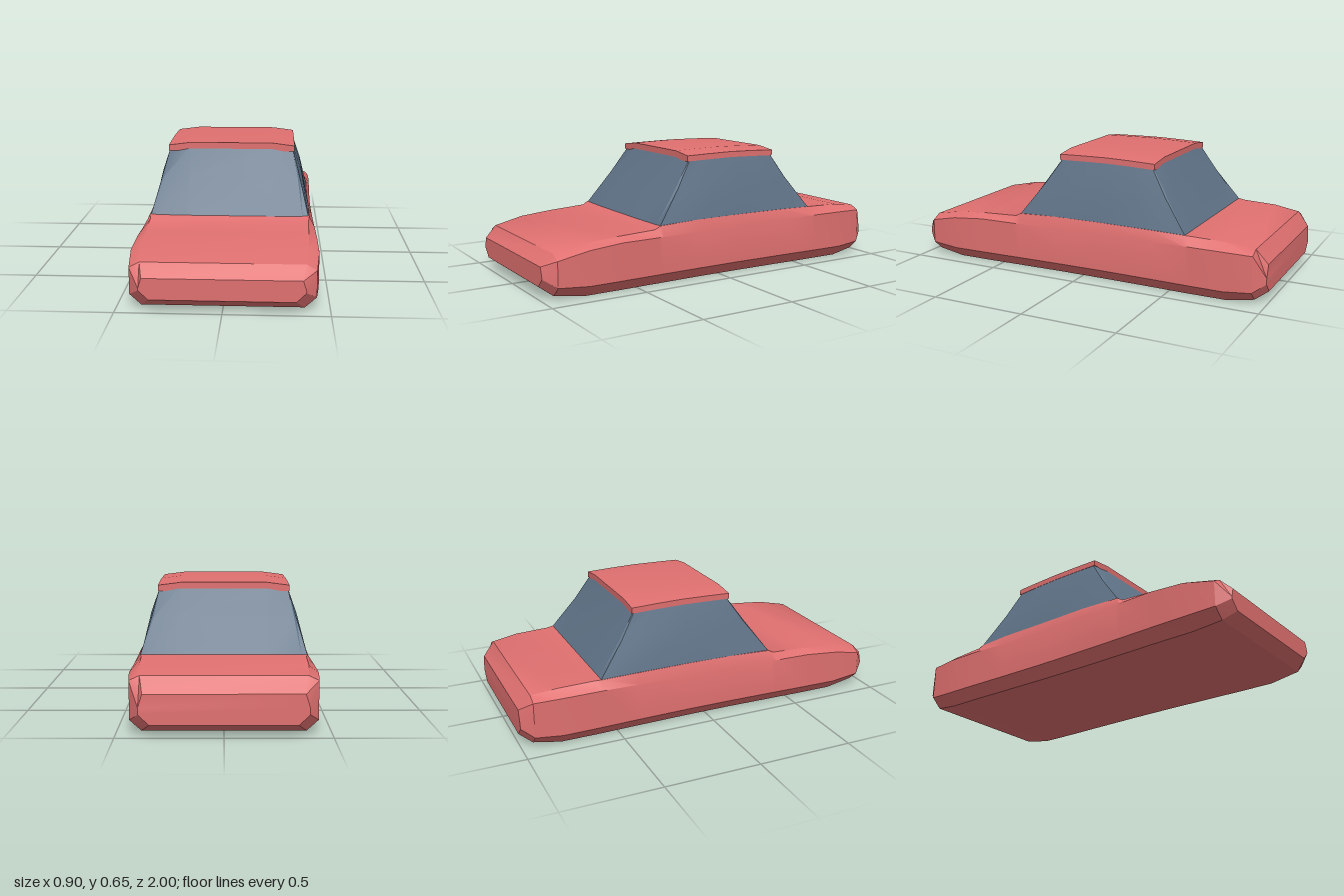
import * as THREE from 'three';
import { toCreasedNormals } from 'three/addons/utils/BufferGeometryUtils.js';

const paint = new THREE.MeshStandardMaterial({ color: 0xe07070 });
paint.name = 'red paint';
const glass = new THREE.MeshStandardMaterial({ color: 0x5f7387 });
glass.name = 'blue grey glass';

// Close a half ring by mirroring it across x = 0
const mirrored = (half) => [...half, ...half.slice().reverse().map(([x, y, z]) => [-x, y, z])];

// Skin a row of closed rings and cap both ends
function loft(name, rings, material, crease) {
  const pos = [];
  const tri = (...pts) => pts.forEach((p) => pos.push(...p));
  const n = rings[0].length;
  for (let i = 0; i < rings.length - 1; i++) {
    for (let j = 0; j < n; j++) {
      const k = (j + 1) % n;
      const [a, b, c, d] = [rings[i][j], rings[i][k], rings[i + 1][k], rings[i + 1][j]];
      tri(a, b, c);
      tri(a, c, d);
    }
  }
  const first = rings[0], last = rings[rings.length - 1];
  // Caps run as strips between mirrored points
  for (let j = 0; j < n / 2 - 1; j++) {
    const m = n - 1 - j;
    tri(last[j], last[j + 1], last[m - 1]);
    tri(last[j], last[m - 1], last[m]);
    tri(first[j], first[m - 1], first[j + 1]);
    tri(first[j], first[m], first[m - 1]);
  }
  const geo = new THREE.BufferGeometry();
  geo.setAttribute('position', new THREE.Float32BufferAttribute(pos, 3));
  const mesh = new THREE.Mesh(toCreasedNormals(geo, crease), material);
  mesh.name = name;
  return mesh;
}

// Lower body: z, sill x, sill y, side x, side low y, side high y, top x, top y
function makeBody() {
  const stations = [
    [-1.00, 0.34, 0.06, 0.39, 0.11, 0.14, 0.37, 0.205],
    [-0.94, 0.38, 0.02, 0.435, 0.07, 0.255, 0.385, 0.278],
    [-0.80, 0.395, 0, 0.448, 0.06, 0.26, 0.40, 0.297],
    [-0.62, 0.395, 0, 0.446, 0.06, 0.26, 0.405, 0.303],
    [-0.585, 0.395, 0, 0.445, 0.06, 0.26, 0.415, 0.306],
    [-0.40, 0.39, 0, 0.44, 0.06, 0.255, 0.42, 0.311],
    [-0.10, 0.385, 0, 0.435, 0.06, 0.25, 0.415, 0.312],
    [0.15, 0.385, 0, 0.437, 0.06, 0.25, 0.417, 0.311],
    [0.37, 0.39, 0, 0.441, 0.06, 0.25, 0.415, 0.302],
    [0.40, 0.39, 0, 0.442, 0.06, 0.25, 0.41, 0.285],
    [0.60, 0.395, 0, 0.447, 0.06, 0.25, 0.405, 0.275],
    [0.78, 0.395, 0, 0.45, 0.06, 0.235, 0.40, 0.26],
    [0.94, 0.38, 0.02, 0.435, 0.07, 0.20, 0.385, 0.227],
    [1.00, 0.34, 0.065, 0.385, 0.11, 0.12, 0.37, 0.168],
  ];
  const rings = stations.map(([z, bx, by, sx, y1, y2, tx, ty]) =>
    mirrored([[bx, by, z], [sx, y1, z], [sx, y2, z], [tx, ty, z]]));
  return loft('body', rings, paint, 0.5);
}

// Glass cabin: rings stacked upwards, each running front to back
function makeCabin() {
  const base = [
    [0.22, 0.298, 0.375], [0.38, 0.296, 0.375], [0.413, 0.288, 0.378], [0.417, 0.308, 0.15],
    [0.414, 0.31, -0.11], [0.418, 0.308, -0.40], [0.415, 0.298, -0.59],
    [0.385, 0.30, -0.588], [0.22, 0.30, -0.588],
  ];
  const middle = [
    [0.22, 0.48, 0.25], [0.355, 0.475, 0.243], [0.366, 0.475, 0.235], [0.378, 0.48, 0.09],
    [0.378, 0.485, -0.11], [0.378, 0.48, -0.32], [0.366, 0.475, -0.455],
    [0.355, 0.475, -0.463], [0.22, 0.48, -0.467],
  ];
  const top = [
    [0.22, 0.626, 0.152], [0.330, 0.604, 0.152], [0.333, 0.604, 0.148], [0.333, 0.61, 0.05],
    [0.333, 0.614, -0.11], [0.333, 0.61, -0.27], [0.333, 0.604, -0.373],
    [0.330, 0.604, -0.377], [0.22, 0.626, -0.377],
  ];
  return loft('cabinGlass', [base, middle, top].map(mirrored), glass, 0.4);
}

// Thin roof panel, crowned both ways
function makeRoof() {
  const stations = [[-0.385, -0.008], [-0.25, -0.003], [-0.11, 0], [0.03, -0.002], [0.16, -0.005]];
  const rings = stations.map(([z, dy]) => mirrored([
    [0.22, 0.627 + dy, z], [0.337, 0.607 + dy, z], [0.337, 0.637 + dy, z], [0.22, 0.652 + dy, z],
  ]));
  return loft('roof', rings, paint, 0.5);
}

export function createModel() {
  const car = new THREE.Group();
  car.name = 'car';
  car.add(makeBody(), makeCabin(), makeRoof());
  return car;
}
